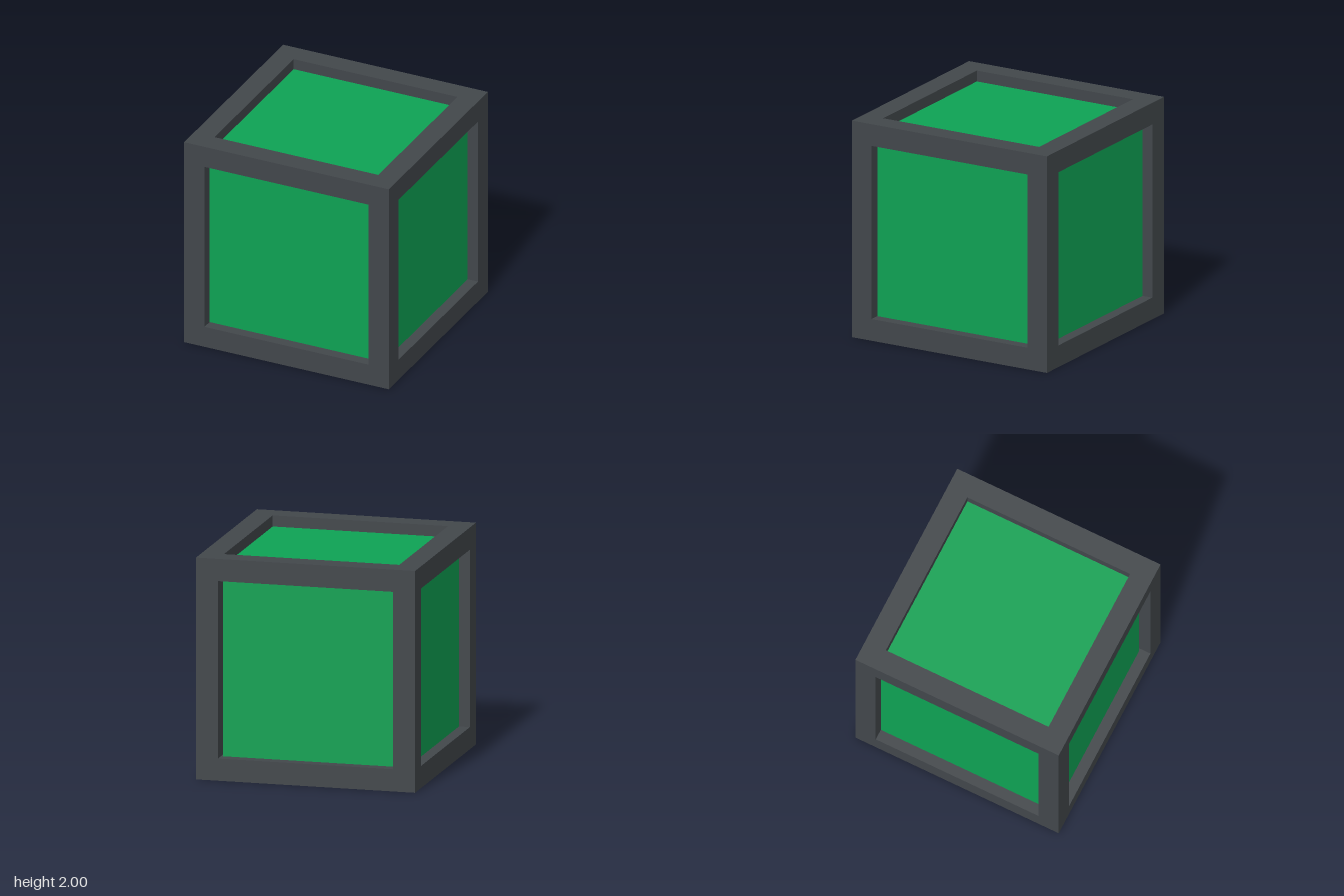
import * as THREE from 'three';
import { mergeGeometries } from 'three/addons/utils/BufferGeometryUtils.js';

const OUT = 1;      // half size of the cube
const IN = 0.8;     // half size of each opening
const BAR = OUT - IN;
const RECESS = 0.1; // panels sit this far behind the frame faces
const THICK = 0.02;
const GAP = 0.02;   // open slit beside the front and back panels, on the +x side

function square(path, h) {
  path.moveTo(-h, -h);
  path.lineTo(h, -h);
  path.lineTo(h, h);
  path.lineTo(-h, h);
  path.closePath();
  return path;
}

// One face of the frame: a flat ring plus the four walls of its opening
function frameFace() {
  const ring = square(new THREE.Shape(), OUT);
  ring.holes.push(square(new THREE.Path(), IN));
  const parts = [new THREE.ShapeGeometry(ring).translate(0, 0, OUT)];
  for (let i = 0; i < 4; i++) {
    parts.push(new THREE.PlaneGeometry(2 * IN, BAR)
      .rotateX(-Math.PI / 2)
      .translate(0, -IN, OUT - BAR / 2)
      .rotateZ(i * Math.PI / 2));
  }
  return mergeGeometries(parts);
}

export function createModel() {
  const frameMat = new THREE.MeshStandardMaterial({ color: 0x42474b });
  frameMat.name = 'darkGrey';
  const panelMat = new THREE.MeshStandardMaterial({ color: 0x0ea254 });
  panelMat.name = 'green';

  const model = new THREE.Group();
  model.name = 'framedCube';

  // name, turn about x, turn about y, side of the slit in the panel's own x (0 = none)
  const q = Math.PI / 2;
  const faces = [
    ['front', 0, 0, 1],
    ['left', 0, q, 0],
    ['back', 0, 2 * q, -1],
    ['right', 0, -q, 0],
    ['top', -q, 0, 0],
    ['bottom', q, 0, 0],
  ];

  const frameParts = [];
  for (const [name, rx, ry, slit] of faces) {
    frameParts.push(frameFace().rotateX(rx).rotateY(ry));

    // Recessed panel filling the opening
    const width = 2 * IN - (slit ? GAP : 0);
    const geo = new THREE.BoxGeometry(width, 2 * IN, THICK)
      .translate(-slit * GAP / 2, 0, OUT - RECESS - THICK / 2)
      .rotateX(rx)
      .rotateY(ry)
      .translate(0, OUT, 0);
    const panel = new THREE.Mesh(geo, panelMat);
    panel.name = name + 'Panel';
    model.add(panel);
  }

  // Square-bar frame around all twelve edges
  const frame = new THREE.Mesh(mergeGeometries(frameParts).translate(0, OUT, 0), frameMat);
  frame.name = 'frame';
  model.add(frame);

  return model;
}
